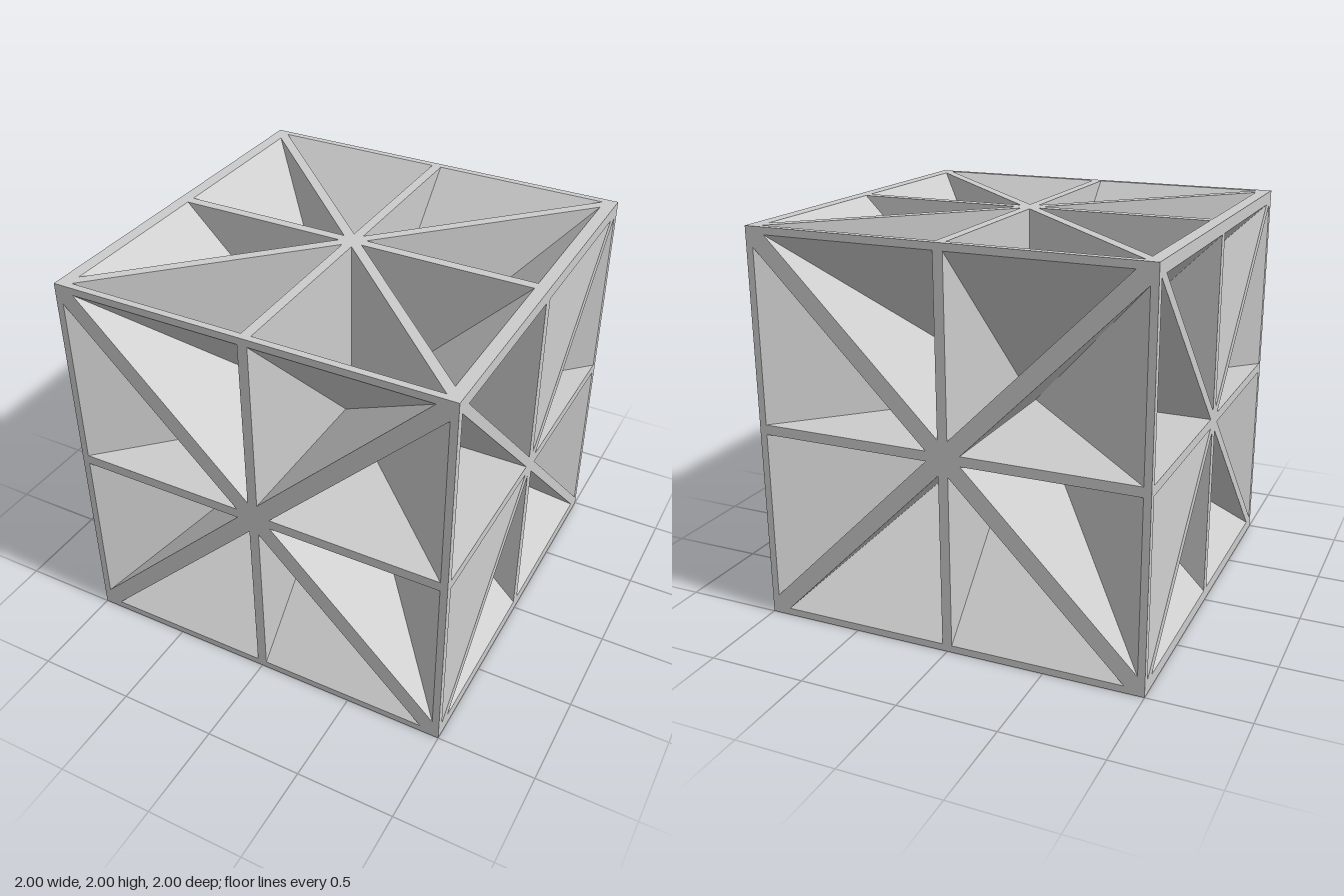
import * as THREE from 'three';

const HALF_WALL = 0.025; // half thickness of the three middle walls
const AXES = ['x', 'y', 'z'];
// half width of the diagonal wall between two axes, measured along an axis
const diagonal = (i, j) => (i + j === 1 ? 0.063 : 0.036);

// Corners of one wedge pocket, inner tip first, in (u, v, w) of a side; a is the small axis, b the middle one
function pocketCorners(su, sv, swap, dab, dbc) {
  const a0 = HALF_WALL, b0 = a0 + dab, bMax = 1 - dbc;
  return [[a0, b0, b0 + dbc], [a0, b0, 1], [a0, bMax, 1], [bMax - dab, bMax, 1]]
    .map(([a, b, w]) => (swap ? [su * b, sv * a, w] : [su * a, sv * b, w]));
}

// All eight pockets of the side that looks along axis w
function sidePockets(w) {
  const u = (w + 1) % 3, v = (w + 2) % 3, list = [];
  for (const su of [1, -1]) for (const sv of [1, -1]) for (const swap of [false, true]) {
    const corners = pocketCorners(su, sv, swap, diagonal(u, v), diagonal(swap ? u : v, w));
    list.push({ corners, flip: su * sv * (swap ? -1 : 1) < 0 });
  }
  return list;
}

// Flat square rim and ribs with eight triangular openings
function gridGeometry(pockets) {
  const shape = new THREE.Shape([[-1, -1], [1, -1], [1, 1], [-1, 1]].map((p) => new THREE.Vector2(...p)));
  for (const { corners } of pockets) {
    shape.holes.push(new THREE.Path(corners.slice(1).map(([x, y]) => new THREE.Vector2(x, y))));
  }
  return new THREE.ShapeGeometry(shape).translate(0, 0, 1);
}

// Three sloping walls per pocket, facing into the pocket
function wallGeometry(pockets) {
  const positions = [];
  for (const { corners, flip } of pockets) {
    for (const [i, j, k] of [[0, 2, 1], [0, 3, 2], [0, 1, 3]]) {
      for (const n of flip ? [i, k, j] : [i, j, k]) positions.push(...corners[n]);
    }
  }
  const geometry = new THREE.BufferGeometry();
  geometry.setAttribute('position', new THREE.Float32BufferAttribute(positions, 3));
  geometry.computeVertexNormals();
  return geometry;
}

export function createModel() {
  const model = new THREE.Group();
  model.name = 'pocketedCube';
  const material = new THREE.MeshStandardMaterial({ color: 0xcccccc, flatShading: true });
  const names = { x: ['left', 'right'], y: ['top', 'bottom'], z: ['front', 'back'] };

  for (let w = 0; w < 3; w++) {
    const pockets = sidePockets(w);
    const grid = gridGeometry(pockets), walls = wallGeometry(pockets);
    const unit = (i) => new THREE.Vector3().setComponent(i, 1);

    // opposite sides share their geometry, turned half round
    [1, -1].forEach((sign, n) => {
      const side = new THREE.Group();
      side.name = names[AXES[w]][n] + 'Side';
      const basis = new THREE.Matrix4().makeBasis(
        unit((w + 1) % 3).multiplyScalar(sign), unit((w + 2) % 3), unit(w).multiplyScalar(sign));
      side.quaternion.setFromRotationMatrix(basis);
      side.position.y = 1;
      for (const [name, geometry] of [['ribGrid', grid], ['pocketWalls', walls]]) {
        const mesh = new THREE.Mesh(geometry, material);
        mesh.name = name;
        side.add(mesh);
      }
      model.add(side);
    });
  }
  return model;
}
